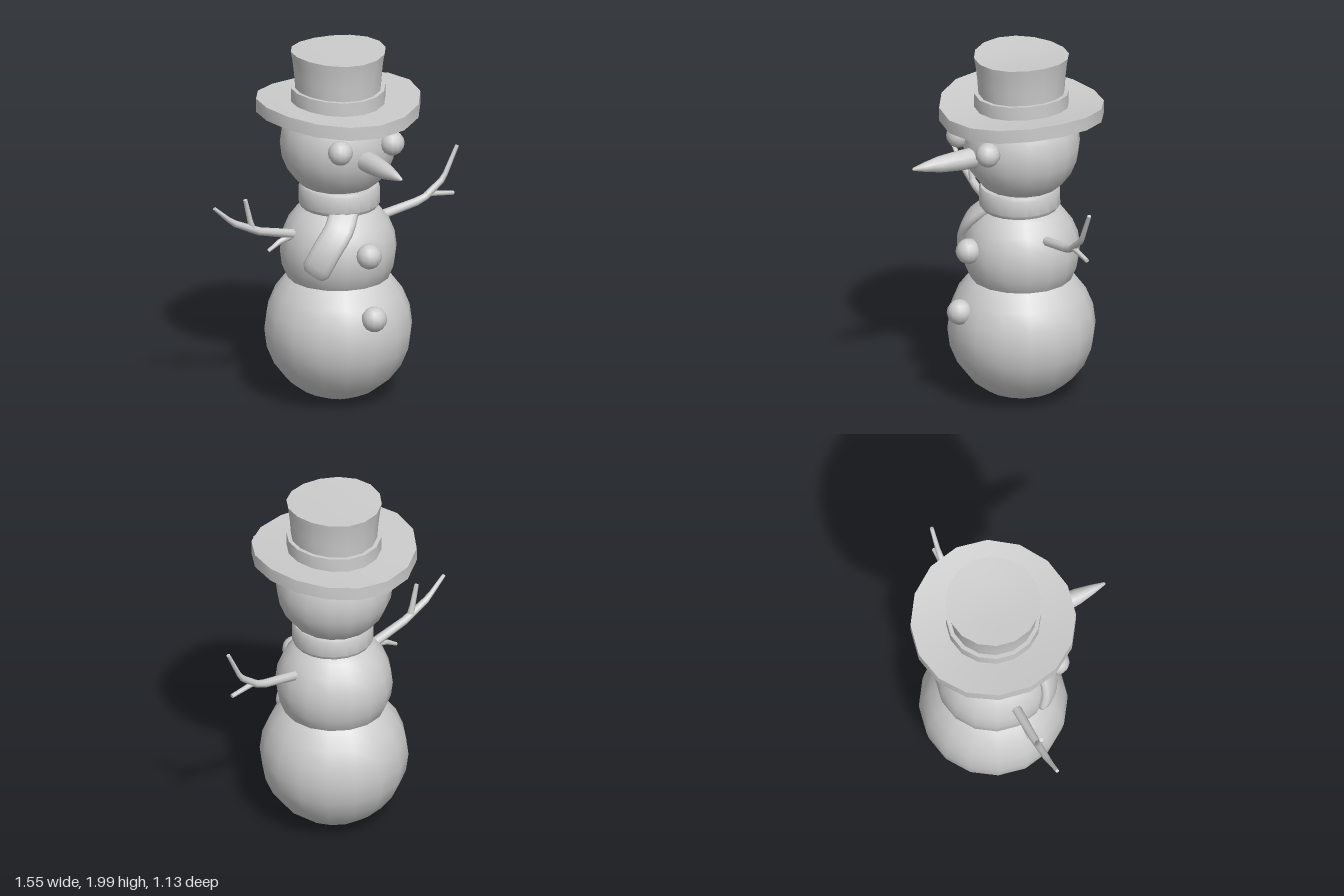
import * as THREE from 'three';
import { toCreasedNormals } from 'three/addons/utils/BufferGeometryUtils.js';

const V3 = (x, y, z) => new THREE.Vector3(x, y, z);

export function createModel() {
  const root = new THREE.Group();
  const body = new THREE.Group(); // everything shares this vertical axis
  body.name = 'snowman';
  body.position.set(0.01, 0, -0.12);
  root.add(body);
  const clay = new THREE.MeshStandardMaterial({ color: 0xcccccc });
  clay.name = 'light grey';

  const add = (name, geometry, x = 0, y = 0, z = 0) => {
    const mesh = new THREE.Mesh(geometry, clay);
    mesh.name = name;
    mesh.position.set(x, y, z);
    body.add(mesh);
    return mesh;
  };
  const ball = (name, r, x, y, z, w = 16, h = 12) =>
    add(name, new THREE.SphereGeometry(r, w, h), x, y, z);
  const turned = (profile, sides) =>
    new THREE.LatheGeometry(profile.map(([r, y]) => new THREE.Vector2(r, y)), sides);

  // Sweeps an oval section along points; size(i) gives [thickness, width] half sizes
  const loft = (points, normalAt, size, sides, square = 1) => {
    const pos = [], index = [], n = points.length;
    const soft = (c) => Math.sign(c) * Math.abs(c) ** square;
    points.forEach((p, i) => {
      const t = points[Math.min(i + 1, n - 1)].clone().sub(points[Math.max(i - 1, 0)]).normalize();
      const u = normalAt(p).clone();
      u.addScaledVector(t, -u.dot(t)).normalize();
      const v = t.clone().cross(u);
      const [a, b] = size(i);
      for (let j = 0; j < sides; j++) {
        const k = (j / sides) * Math.PI * 2;
        const q = p.clone().addScaledVector(u, a * soft(Math.cos(k))).addScaledVector(v, b * soft(Math.sin(k)));
        pos.push(q.x, q.y, q.z);
      }
    });
    for (let i = 0; i < n - 1; i++) {
      for (let j = 0; j < sides; j++) {
        const a = i * sides + j, b = i * sides + ((j + 1) % sides);
        index.push(a, b, a + sides, b, b + sides, a + sides);
      }
    }
    const end = (n - 1) * sides;
    for (let j = 1; j < sides - 1; j++) index.push(0, j + 1, j, end, end + j, end + j + 1);
    const g = new THREE.BufferGeometry();
    g.setAttribute('position', new THREE.Float32BufferAttribute(pos, 3));
    g.setIndex(index);
    return toCreasedNormals(g, 0.9);
  };

  // Snowballs
  ball('lowerBody', 0.405, 0, 0.41, 0);
  ball('upperBody', 0.32, 0, 0.86, 0);
  ball('head', 0.32, 0, 1.48, 0);

  // Eyes and buttons
  for (const side of [-1, 1]) ball(side < 0 ? 'rightEye' : 'leftEye', 0.068, side * 0.163, 1.52, 0.3, 12, 8);
  ball('upperButton', 0.07, 0, 0.905, 0.33, 12, 8);
  ball('lowerButton', 0.07, 0, 0.56, 0.385, 12, 8);

  // Carrot nose, turned upright and then laid forward
  const nose = turned([[0, 0], [0.058, 0], [0.055, 0.09], [0.045, 0.21], [0.027, 0.3], [0.008, 0.375], [0, 0.38]], 12);
  add('nose', toCreasedNormals(nose, 0.9), 0, 1.445, 0.3).rotation.x = Math.PI / 2 - 0.02;

  // Hat, its sides curled upwards
  const hatPart = (name, profile) => {
    const g = turned(profile, 16);
    const p = g.attributes.position;
    for (let i = 0; i < p.count; i++) p.setY(i, p.getY(i) + 0.23 * p.getX(i) ** 2);
    add(name, toCreasedNormals(g, 0.6));
  };
  hatPart('hatBrim', [[0, 1.62], [0.24, 1.62], [0.45, 1.62], [0.45, 1.695], [0.24, 1.695], [0, 1.695]]);
  hatPart('hatBand', [[0, 1.68], [0.258, 1.68], [0.258, 1.772], [0, 1.772]]);
  hatPart('hatCrown', [[0, 1.76], [0.234, 1.76], [0.241, 1.85], [0.25, 1.93], [0.26, 1.983], [0.13, 1.983], [0, 1.983]]);

  // Scarf ring
  const ring = turned([[0.15, 1.11], [0.21, 1.11], [0.222, 1.13], [0.222, 1.215], [0.212, 1.235], [0.15, 1.235]], 20);
  add('scarfRing', toCreasedNormals(ring, 0.6)).rotation.x = 0.01;

  // Scarf tail, draped over the upper snowball
  const centre = V3(0, 0.86, 0);
  const drape = new THREE.CatmullRomCurve3([[-0.05, 1.14], [-0.13, 1.05], [-0.2, 0.96], [-0.24, 0.88], [-0.262, 0.8]].map(
    ([x, y]) => V3(x, y, Math.sqrt(0.325 ** 2 - x * x - (y - 0.86) ** 2))));
  const tail = drape.getPoints(12);
  add('scarfTail', loft(tail, (p) => p.clone().sub(centre), (i) => [i > 11 ? 0.018 : 0.03, i > 11 ? 0.06 : 0.08], 12, 0.7));

  // Twig arms, tapering towards the tips
  const twig = (name, path, r0, r1) => {
    const points = path.map(([x, y]) => V3(x - 0.01, y, 0));
    const radius = (i) => r0 + ((r1 - r0) * i) / (points.length - 1);
    add(name, loft(points, () => V3(0, 0, 1), (i) => [radius(i), radius(i)], 8));
  };
  twig('leftArm', [[0.25, 0.99], [0.5, 1.03], [0.56, 1.05], [0.66, 1.125], [0.685, 1.16], [0.76, 1.31]], 0.027, 0.011);
  twig('leftTwig', [[0.56, 1.06], [0.6, 1.06], [0.735, 1.04]], 0.018, 0.012);
  twig('rightArm', [[-0.25, 0.98], [-0.49, 1.04], [-0.64, 1.11], [-0.68, 1.14], [-0.77, 1.22]], 0.027, 0.01);
  twig('rightUpperTwig', [[-0.53, 1.06], [-0.545, 1.11], [-0.575, 1.235]], 0.02, 0.012);
  twig('rightLowerTwig', [[-0.29, 0.975], [-0.36, 0.955], [-0.43, 0.915]], 0.02, 0.01);

  return root;
}
